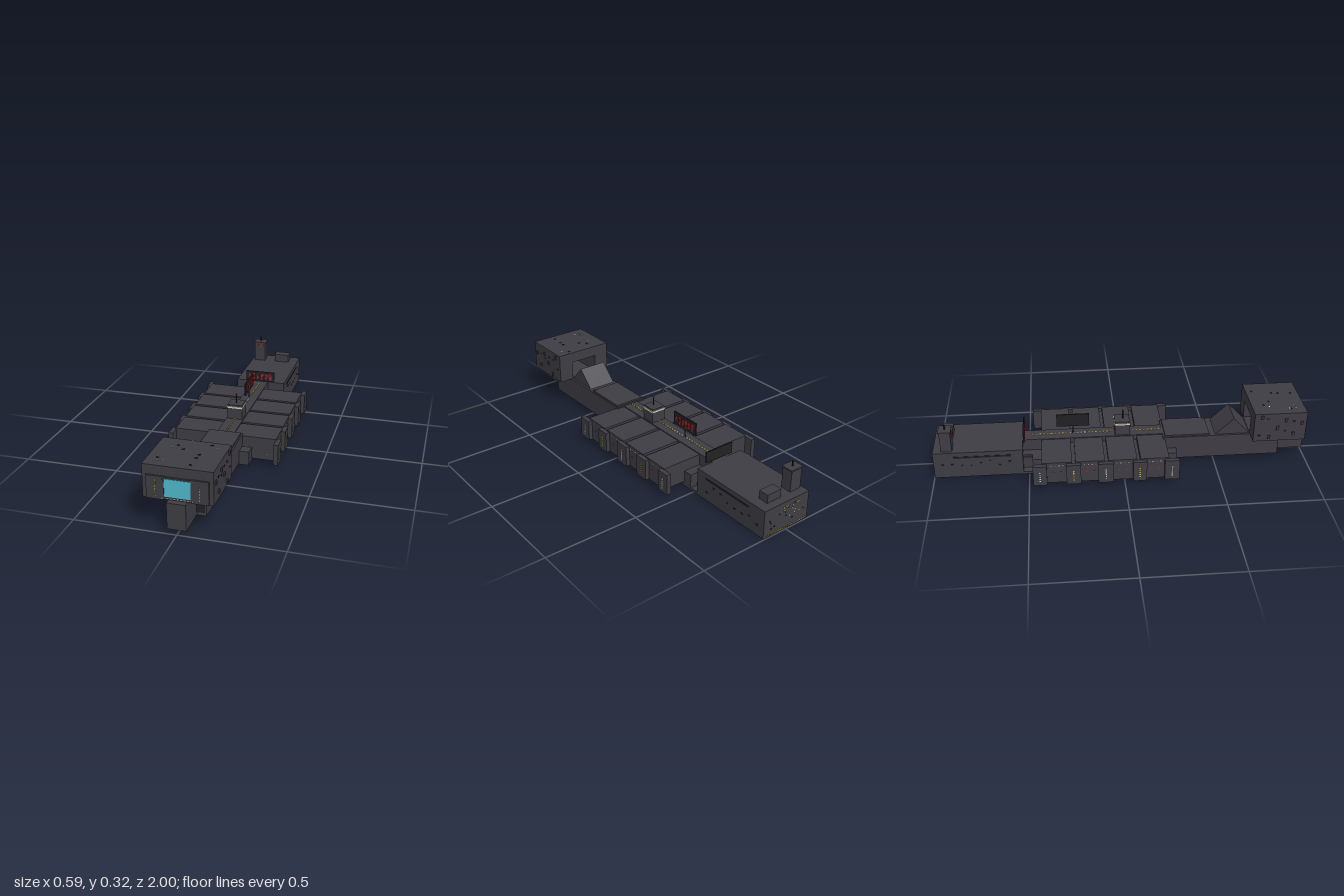
import * as THREE from 'three';

const paint = (name, color) => {
  const m = new THREE.MeshStandardMaterial({ color });
  m.name = name;
  return m;
};

export function createModel() {
  const root = new THREE.Group();
  root.name = 'spaceStation';
  const hull = paint('hullGrey', 0x3f3d44);
  const dark = paint('shadowBlack', 0x222224);
  const glass = paint('cyanGlass', 0x50bbce);
  const yellow = paint('lampYellow', 0xd2be3a);
  const red = paint('signRed', 0xb8202c);
  const pale = paint('lampPale', 0xd6d8be);

  // Box given by its limits on each axis
  const box = (name, mat, [x0, x1], [y0, y1], [z0, z1], parent = root) => {
    const m = new THREE.Mesh(new THREE.BoxGeometry(x1 - x0, y1 - y0, z1 - z0), mat);
    m.position.set((x0 + x1) / 2, (y0 + y1) / 2, (z0 + z1) / 2);
    m.name = name;
    parent.add(m);
    return m;
  };
  // Small plate given by centre and size
  const plate = (name, mat, x, y, z, w, h, d, parent = root) =>
    box(name, mat, [x - w / 2, x + w / 2], [y - h / 2, y + h / 2], [z - d / 2, z + d / 2], parent);
  const mast = (name, x, y0, y1, z, r = 0.003, mat = dark) => {
    const m = new THREE.Mesh(new THREE.CylinderGeometry(r, r, y1 - y0, 8), mat);
    m.position.set(x, (y0 + y1) / 2, z);
    m.name = name;
    root.add(m);
  };
  let seed = 7;
  const rand = () => (seed = (seed * 16807) % 2147483647) / 2147483647;

  // Head: hollow block, open at the back
  const outline = new THREE.Shape();
  outline.moveTo(-0.165, 0.155).lineTo(-0.08, 0.155).lineTo(-0.08, 0.26).lineTo(0.08, 0.26);
  outline.lineTo(0.08, 0.155).lineTo(0.165, 0.155).lineTo(0.165, 0.32).lineTo(-0.165, 0.32);
  const head = new THREE.Mesh(
    new THREE.ExtrudeGeometry(outline, { depth: 0.28, bevelEnabled: false }), hull);
  head.position.z = 0.69;
  head.name = 'headBlock';
  root.add(head);
  box('headFrontWall', hull, [-0.08, 0.08], [0.155, 0.26], [0.90, 0.97]);
  box('headFloor', hull, [-0.08, 0.08], [0.152, 0.16], [0.69, 0.90]);
  box('bridgeWindow', glass, [-0.062, 0.061], [0.17, 0.26], [0.97, 0.976]);
  box('windowLintel', hull, [-0.145, 0.145], [0.262, 0.27], [0.97, 0.978]);
  for (const s of [-1, 1]) {
    const span = (a, b) => (s > 0 ? [a, b] : [-b, -a]);
    box('facePanel', hull, span(0.062, 0.145), [0.158, 0.272], [0.97, 0.979]);
    for (let i = 0; i < 6; i++)
      plate('faceLamp', yellow, s * 0.102, 0.178 + i * 0.015, 0.98, 0.002, 0.009, 0.003);
    plate('cornerLamp', pale, s * 0.07, 0.168, 0.98, 0.004, 0.004, 0.003);
    plate('cornerLamp', s > 0 ? pale : red, s * 0.07, 0.261, 0.98, 0.004, 0.004, 0.003);
    // Hatches along the head sides
    for (let i = 0; i < 6; i++) {
      plate('headHatch', hull, s * 0.168, [0.30, 0.18, 0.235, 0.28, 0.195, 0.26][i],
        0.73 + i * 0.043, 0.008, 0.02, 0.014);
      plate('headSidePort', dark, s * 0.1655, 0.19 + rand() * 0.11, 0.72 + i * 0.045, 0.003, 0.006, 0.015);
    }
  }
  for (let i = 0; i < 9; i++)
    plate('sillLamp', pale, -0.064 + i * 0.016, 0.163, 0.971, 0.009, 0.003, 0.003);
  for (const [x, z] of [[-0.09, 0.78], [0.115, 0.745], [-0.115, 0.885], [-0.11, 0.92], [-0.085, 0.915]])
    plate('roofLamp', pale, x, 0.321, z, 0.008, 0.003, 0.008);
  for (let i = 0; i < 7; i++)
    plate('roofPort', dark, rand() * 0.26 - 0.13, 0.321, 0.72 + i * 0.035, 0.012, 0.003, 0.008);

  // Neck, docking block and sloped ramp behind the head
  box('neck', hull, [-0.092, 0.092], [0.025, 0.157], [0.22, 0.85]);
  box('dockingBlock', hull, [-0.045, 0.045], [0.026, 0.157], [0.85, 1.0]);
  for (const s of [-1, 1])
    plate('neckBay', dark, s * 0.065, 0.099, 0.851, 0.04, 0.114, 0.004);
  box('neckDeck', hull, [-0.085, 0.085], [0.155, 0.166], [0.23, 0.47]);
  const wedge = new THREE.Shape();
  wedge.moveTo(-0.69, 0.155).lineTo(-0.5, 0.155).lineTo(-0.6, 0.25);
  const ramp = new THREE.Mesh(
    new THREE.ExtrudeGeometry(wedge, { depth: 0.16, bevelEnabled: false }), hull);
  ramp.rotation.y = Math.PI / 2;
  ramp.position.x = -0.08;
  ramp.name = 'ramp';
  root.add(ramp);
  plate('rampLamp', red, 0.075, 0.167, 0.462, 0.02, 0.003, 0.004);
  for (const s of [-1, 1]) mast('keelMast', s * 0.025, 0.002, 0.026, 0.82, 0.004);

  // Middle body and spine
  box('middleBody', hull, [-0.092, 0.092], [0.02, 0.09], [-0.53, 0.23]);
  box('keelPlate', hull, [-0.14, 0.14], [0.012, 0.035], [-0.48, 0.17]);
  box('tailSkid', hull, [-0.14, 0.14], [0, 0.014], [-0.54, -0.407]);
  box('spine', hull, [-0.046, 0.046], [0.08, 0.155], [-0.53, 0.23]);
  box('rearConnector', hull, [-0.1, 0.1], [0.014, 0.08], [-0.53, -0.477]);
  for (let i = 0; i < 35; i++)
    plate('runwayLamp', i > 9 && i < 16 ? pale : yellow, 0, 0.1565, -0.475 + i * 0.02, 0.007, 0.004, 0.009);

  // Wings, end pylons and their lamps, mirrored
  const wings = [[-0.43, -0.275], [-0.257, -0.105], [-0.087, 0.062], [0.08, 0.23]];
  const pylons = [[-0.477, -0.405], [-0.305, -0.23], [-0.14, -0.06], [0.04, 0.112], [0.205, 0.282]];
  for (const s of [-1, 1]) {
    const span = (a, b) => (s > 0 ? [a, b] : [-b, -a]);
    box('wingCore', hull, span(0.04, 0.262), [0.03, 0.125], [-0.425, 0.225]);
    for (const w of wings) {
      box('wing', hull, span(0.04, 0.271), [0.028, 0.15], w);
      const zc = (w[0] + w[1]) / 2;
      for (const dz of [-0.02, 0.02])
        plate('wingMarker', red, s * 0.2715, 0.09, zc + dz, 0.003, 0.008, 0.005);
      for (let k = 0; k < 4; k++)
        plate('wingEdgeLamp', pale, s * 0.2715, 0.132, zc - 0.03 + k * 0.02, 0.004, 0.004, 0.006);
    }
    pylons.forEach((p, i) => {
      box('pylon', hull, span(0.268, 0.293), [0.03, 0.143], p);
      box('pylonFoot', hull, span(0.272, 0.29), [0.026, 0.03], [p[0] + 0.01, p[1] - 0.01]);
      for (let k = 0; k < 5; k++)
        plate('pylonLamp', i % 2 ? yellow : pale, s * 0.2935, 0.055 + k * 0.013,
          (p[0] + p[1]) / 2, 0.003, 0.007, 0.007);
    });
    box('frontPod', hull, span(0.085, 0.143), [0.015, 0.09], [0.225, 0.29]);
    box('rearPod', hull, span(0.085, 0.143), [0.015, 0.09], [-0.48, -0.42]);
    for (const [x, y] of [[0.112, 0.095], [0.175, 0.09], [0.225, 0.06]])
      plate('wingFrontLamp', pale, s * x, y, 0.231, 0.004, 0.004, 0.003);
  }

  // Control tower with pale deck and beacon
  box('controlTower', hull, [-0.04, 0.04], [0.15, 0.235], [-0.035, 0.045]);
  box('towerDeck', pale, [-0.044, 0.044], [0.217, 0.226], [-0.039, 0.049]);
  mast('towerMast', 0, 0.235, 0.288, 0.01);
  const beacon = new THREE.Mesh(new THREE.SphereGeometry(0.005, 10, 8), red);
  beacon.position.set(0, 0.286, 0.01);
  beacon.name = 'beacon';
  root.add(beacon);

  // Red billboards: abstract bars on dark boards
  const billboard = (name, x, y, z, turn, h, w) => {
    const g = new THREE.Group();
    g.name = name;
    plate('board', dark, 0, 0, 0, w, h, 0.007, g);
    for (let i = 0; i < 6; i++) {
      const bx = (i - 2.5) * w * 0.145;
      plate('signBar', red, bx, 0, 0.004, w * 0.085, h * (i % 2 ? 0.62 : 0.45), 0.003, g);
      plate('signSlot', dark, bx, (i % 3 - 1) * h * 0.1, 0.005, w * 0.035, h * 0.2, 0.003, g);
    }
    g.position.set(x, y, z);
    g.rotation.y = turn;
    root.add(g);
  };
  billboard('sideBillboard', 0, 0.238, -0.258, Math.PI / 2, 0.072, 0.175);
  billboard('frontBillboard', 0, 0.19, -0.522, 0, 0.06, 0.17);
  mast('billboardPost', 0, 0.15, 0.205, -0.258);

  // Tail block with tower and cabin
  box('tail', hull, [-0.143, 0.143], [0.004, 0.155], [-0.997, -0.53]);
  box('tailTower', hull, [-0.128, -0.062], [0.15, 0.27], [-0.953, -0.895]);
  box('tailTowerCap', hull, [-0.132, -0.058], [0.266, 0.274], [-0.957, -0.891]);
  mast('tailMast', -0.095, 0.274, 0.302, -0.924, 0.004);
  plate('tailTowerBand', red, -0.095, 0.25, -0.894, 0.05, 0.006, 0.003);
  box('tailCabin', hull, [0.002, 0.088], [0.15, 0.2], [-0.955, -0.9]);
  for (let i = 0; i < 22; i++)
    plate('sternLamp', yellow, -0.132 + i * 0.0126, 0.012, -0.998, 0.007, 0.004, 0.003);
  for (let i = 0; i < 24; i++)
    plate('sternPort', [pale, dark, yellow, dark][i % 4], rand() * 0.25 - 0.125,
      0.035 + rand() * 0.1, -0.998, 0.007, 0.006, 0.003);
  for (const s of [-1, 1]) {
    plate('tailSlit', dark, s * 0.1435, 0.125, -0.74, 0.003, 0.01, 0.3);
    for (let i = 0; i < 8; i++)
      plate('tailPort', dark, s * 0.1435, 0.045 + rand() * 0.06, -0.95 + i * 0.05, 0.003, 0.008, 0.012);
  }
  return root;
}
